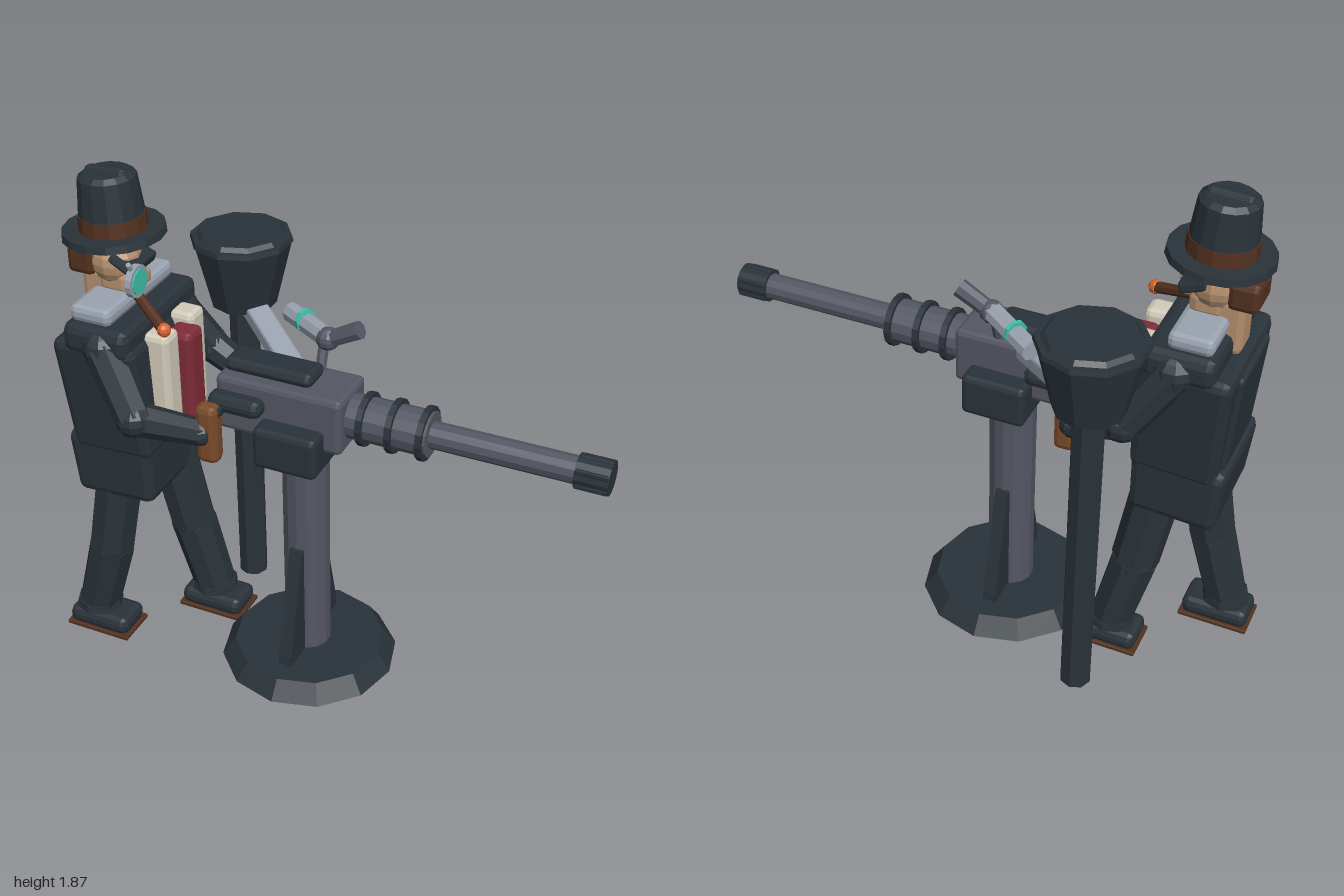
import * as THREE from 'three';
import { RoundedBoxGeometry } from 'three/addons/geometries/RoundedBoxGeometry.js';

const paint = (name, color) => Object.assign(new THREE.MeshStandardMaterial({ color }), { name });
const dark = paint('charcoal', 0x2a333a);
const gunmetal = paint('gunmetal', 0x545663);
const silver = paint('silver', 0x9aa3b0);
const skin = paint('skin', 0xb5906e);
const hairBrown = paint('dark brown', 0x53311f);
const wood = paint('wood', 0x7a4a2a);
const cream = paint('cream', 0xd2ccba);
const red = paint('red', 0x7e2c38);
const teal = paint('teal', 0x3fc4ad);
const ember = paint('ember orange', 0xd8622a);

const V = (a) => new THREE.Vector3(...a);
const UP = new THREE.Vector3(0, 1, 0);

// Faceted normals
function flat(geo) {
  const g = geo.index ? geo.toNonIndexed() : geo;
  g.computeVertexNormals();
  return g;
}
function add(parent, name, geo, mat, pos = [0, 0, 0], rz = 0) {
  const m = new THREE.Mesh(flat(geo), mat);
  m.name = name;
  m.position.set(...pos);
  m.rotation.z = rz;
  parent.add(m);
  return m;
}
// Bevelled box; taper = scale of [x, z] at the bottom
function box(parent, name, mat, size, pos, { rz = 0, bevel = 0.018, taper } = {}) {
  const r = Math.min(bevel, Math.min(...size) * 0.45);
  const geo = new RoundedBoxGeometry(...size, 1, r);
  if (taper) {
    const p = geo.attributes.position;
    for (let i = 0; i < p.count; i++) {
      const t = 0.5 - p.getY(i) / size[1];
      p.setX(i, p.getX(i) * (1 + (taper[0] - 1) * t));
      p.setZ(i, p.getZ(i) * (1 + (taper[1] - 1) * t));
    }
  }
  return add(parent, name, geo, mat, pos, rz);
}
// Tapered rod from a to b
function rod(parent, name, mat, a, b, ra, rb = ra, sides = 10) {
  const d = V(b).sub(V(a));
  const m = add(parent, name, new THREE.CylinderGeometry(rb, ra, d.length(), sides), mat);
  m.position.copy(V(a)).addScaledVector(d, 0.5);
  m.quaternion.setFromUnitVectors(UP, d.normalize());
  return m;
}
function ball(parent, name, mat, pos, r, w = 10, h = 8) {
  return add(parent, name, new THREE.SphereGeometry(r, w, h), mat, pos);
}
function group(parent, name) {
  const g = new THREE.Group();
  g.name = name;
  parent.add(g);
  return g;
}

const GZ = 0.07; // gun centre line
const MZ = 0.12; // gunner centre line

function buildMount(root) {
  const g = group(root, 'mount');
  add(g, 'base', new THREE.CylinderGeometry(0.28, 0.33, 0.07, 12), dark, [-0.08, 0.035, GZ]);
  rod(g, 'pedestal', gunmetal, [-0.085, 0.002, GZ], [-0.085, 1.0, GZ], 0.086, 0.086, 14);
  // Gussets on both sides of the pedestal
  for (const s of [1, -1]) {
    const tri = new THREE.Shape([new THREE.Vector2(0.05, 0.07), new THREE.Vector2(0.2, 0.07),
      new THREE.Vector2(0.2, 0.11), new THREE.Vector2(0.095, 0.53), new THREE.Vector2(0.05, 0.53)]);
    const geo = new THREE.ExtrudeGeometry(tri, { depth: 0.05, bevelEnabled: false });
    geo.translate(0, 0, -0.025);
    add(g, 'gusset', geo, dark, [-0.085, 0, GZ]).rotation.y = -s * Math.PI / 2;
  }
}

function buildGun(root) {
  const g = group(root, 'gun');
  box(g, 'receiver', gunmetal, [0.47, 0.21, 0.215], [-0.14, 1.095, GZ]);
  box(g, 'cradle', dark, [0.235, 0.155, 0.375], [-0.083, 0.998, GZ]);
  box(g, 'topCover', dark, [0.33, 0.05, 0.125], [-0.2, 1.22, GZ], { bevel: 0.022 });
  for (const s of [1, -1]) {
    box(g, 'handleBar', dark, [0.2, 0.065, 0.08], [-0.285, 1.12, GZ + s * 0.125], { bevel: 0.025 });
    box(g, 'gripArm', dark, [0.06, 0.05, 0.09], [-0.35, 1.1, GZ + s * 0.16]);
    box(g, 'grip', wood, [0.08, 0.225, 0.07], [-0.362, 1.018, GZ + s * 0.185], { bevel: 0.022 });
  }
  // Barrel, cooling rings and muzzle along +x
  const along = (name, mat, x0, x1, r, sides) => rod(g, name, mat, [x0, 1.1, GZ], [x1, 1.1, GZ], r, r, sides);
  along('shroud', gunmetal, 0.09, 0.385, 0.08, 14);
  for (const x of [0.15, 0.255, 0.365]) along('coolingRing', dark, x - 0.011, x + 0.011, 0.096, 14);
  along('barrel', gunmetal, 0.385, 0.9, 0.048, 12);
  along('muzzle', dark, 0.885, 1, 0.06, 12);
  for (let i = 0; i < 6; i++) {
    const a = (i * Math.PI) / 3;
    box(g, 'muzzleRib', dark, [0.11, 0.018, 0.018],
      [0.943, 1.1 + Math.cos(a) * 0.055, GZ + Math.sin(a) * 0.055], { bevel: 0.004 });
  }
}

function buildHopper(root) {
  const g = group(root, 'ammunitionHopper');
  const x = -0.5, z = -0.287;
  rod(g, 'hopperPole', dark, [x, 0, z], [x, 1.25, z], 0.057, 0.057, 8);
  rod(g, 'hopperFunnel', dark, [x, 1.235, z], [x, 1.485, z], 0.122, 0.182, 10);
  rod(g, 'hopperRim', dark, [x, 1.483, z], [x, 1.5, z], 0.187, 0.183, 10);
  rod(g, 'hopperLid', dark, [x, 1.498, z], [x, 1.515, z], 0.165, 0.15, 10);
  // Feed chute sloping down into the receiver
  const a = V([-0.47, 1.25, -0.27]), b = V([-0.16, 1.175, 0.0]);
  const chute = box(g, 'feedChute', silver, [0.085, 0.06, a.distanceTo(b)], [0, 0, 0], { bevel: 0.01 });
  chute.position.copy(a).lerp(b, 0.5);
  chute.lookAt(b);
  // Sighting tube with a jointed eyepiece
  const s = group(root, 'sight');
  rod(s, 'sightTube', silver, [-0.25, 1.3, -0.17], [-0.05, 1.315, -0.035], 0.037, 0.037, 8);
  rod(s, 'sightBand', teal, [-0.172, 1.315, -0.115], [-0.16, 1.316, -0.107], 0.042, 0.042, 8);
  rod(s, 'sightPost', gunmetal, [-0.06, 1.19, 0.0], [-0.06, 1.31, -0.04], 0.02, 0.02, 8);
  ball(s, 'sightJoint', gunmetal, [-0.045, 1.312, -0.032], 0.042);
  rod(s, 'eyepiece', gunmetal, [-0.04, 1.312, -0.03], [0.075, 1.375, -0.03], 0.03, 0.033, 8);
}

function buildBody(root) {
  const g = group(root, 'gunnerBody');
  box(g, 'torso', dark, [0.32, 0.46, 0.49], [-0.735, 1.09, MZ], { rz: 0.05, taper: [0.95, 0.82], bevel: 0.03 });
  box(g, 'shoulders', dark, [0.25, 0.11, 0.5], [-0.725, 1.335, MZ], { bevel: 0.03 });
  box(g, 'coatSkirt', dark, [0.335, 0.25, 0.4], [-0.738, 0.795, MZ], { rz: 0.05, taper: [0.92, 0.98], bevel: 0.03 });
  box(g, 'coatBackPanel', dark, [0.03, 0.38, 0.3], [-0.893, 1.1, MZ], { rz: 0.08 });
  box(g, 'collar', silver, [0.155, 0.06, 0.44], [-0.752, 1.42, MZ], { bevel: 0.02 });
  // Shirt front and tie
  for (const s of [1, -1])
    box(g, 'shirtFront', cream, [0.1, 0.38, 0.095], [-0.565, 1.15, MZ - 0.01 + s * 0.09], { bevel: 0.02 });
  box(g, 'tie', red, [0.1, 0.35, 0.1], [-0.53, 1.135, MZ - 0.02], { bevel: 0.02 });
  // Arms reaching for the grips
  for (const s of [1, -1]) {
    const arm = group(g, s > 0 ? 'rightArm' : 'leftArm');
    const shoulder = [-0.71, 1.31, MZ + s * 0.21];
    const elbow = [-0.57, 1.1, MZ + s * 0.275];
    const wrist = [-0.39, 1.02, GZ + s * 0.2];
    ball(arm, 'shoulderJoint', dark, shoulder, 0.075);
    rod(arm, 'upperArm', dark, shoulder, elbow, 0.073, 0.066, 8);
    ball(arm, 'elbow', dark, elbow, 0.067);
    rod(arm, 'forearm', dark, elbow, wrist, 0.062, 0.048, 8);
    ball(arm, 'hand', dark, wrist, 0.05);
  }
  // Legs in a long stride
  const leg = (name, hip, knee, ankle, shoeX) => {
    const l = group(g, name);
    rod(l, 'thigh', dark, hip, knee, 0.09, 0.087, 8);
    ball(l, 'knee', dark, knee, 0.086, 8, 6);
    rod(l, 'shin', dark, knee, ankle, 0.087, 0.08, 8);
    rod(l, 'cuff', dark, [ankle[0], 0.09, ankle[2]], [ankle[0], 0.12, ankle[2]], 0.09, 0.086, 8);
    box(l, 'shoe', dark, [0.25, 0.07, 0.15], [shoeX, 0.045, ankle[2]], { bevel: 0.025 });
    box(l, 'sole', hairBrown, [0.265, 0.016, 0.16], [shoeX, 0.008, ankle[2]], { bevel: 0.004 });
  };
  leg('rightLeg', [-0.755, 0.76, 0.22], [-0.81, 0.4, 0.245], [-0.89, 0.1, 0.25], -0.865);
  leg('leftLeg', [-0.66, 0.74, 0.02], [-0.605, 0.4, -0.01], [-0.535, 0.1, -0.03], -0.525);
}

function buildHead(root) {
  const g = group(root, 'gunnerHead');
  const x = -0.765;
  ball(g, 'head', skin, [x, 1.54, MZ], 0.09, 12, 10);
  box(g, 'jaw', skin, [0.13, 0.1, 0.13], [x + 0.015, 1.475, MZ], { bevel: 0.03 });
  box(g, 'neck', skin, [0.1, 0.2, 0.12], [-0.825, 1.41, MZ], { bevel: 0.02 });
  box(g, 'hair', hairBrown, [0.105, 0.105, 0.15], [-0.867, 1.538, MZ], { bevel: 0.02 });
  box(g, 'nose', skin, [0.05, 0.05, 0.045], [-0.667, 1.495, MZ], { bevel: 0.012 });
  box(g, 'eyeBand', dark, [0.1, 0.04, 0.15], [-0.705, 1.545, MZ - 0.01], { rz: -0.35, bevel: 0.01 });
  // Monocle facing +x
  rod(g, 'monocleRim', silver, [-0.648, 1.52, 0.21], [-0.625, 1.52, 0.21], 0.058, 0.058, 14);
  rod(g, 'monocleLens', teal, [-0.63, 1.52, 0.21], [-0.62, 1.52, 0.21], 0.045, 0.045, 14);
  rod(g, 'monocleArm', silver, [-0.64, 1.56, 0.225], [-0.64, 1.595, 0.245], 0.01, 0.01, 6);
  rod(g, 'monocleStrap', dark, [-0.74, 1.575, 0.19], [-0.64, 1.53, 0.2], 0.018, 0.018, 6);
  // Cigar
  rod(g, 'cigar', hairBrown, [-0.69, 1.45, 0.15], [-0.53, 1.38, 0.24], 0.018, 0.02, 8);
  ball(g, 'cigarEmber', ember, [-0.52, 1.377, 0.245], 0.025, 8, 6);
  // Hat, slightly tilted back
  const hat = group(g, 'hat');
  hat.position.set(-0.765, 1.645, MZ);
  hat.rotation.z = 0.05;
  rod(hat, 'brim', dark, [0, -0.013, 0], [0, 0.013, 0], 0.18, 0.176, 16);
  rod(hat, 'hatBand', hairBrown, [0, 0.012, 0], [0, 0.065, 0], 0.119, 0.116, 14);
  rod(hat, 'crown', dark, [0, 0.06, 0], [0, 0.195, 0], 0.113, 0.1, 14);
  rod(hat, 'crownTop', dark, [0, 0.194, 0], [0, 0.21, 0], 0.1, 0.08, 14);
  box(hat, 'crownRidge', dark, [0.16, 0.04, 0.05], [0, 0.204, 0], { bevel: 0.018 });
}

export function createModel() {
  const root = new THREE.Group();
  root.name = 'gunnerAtMountedGun';
  buildMount(root);
  buildGun(root);
  buildHopper(root);
  buildBody(root);
  buildHead(root);
  return root;
}
